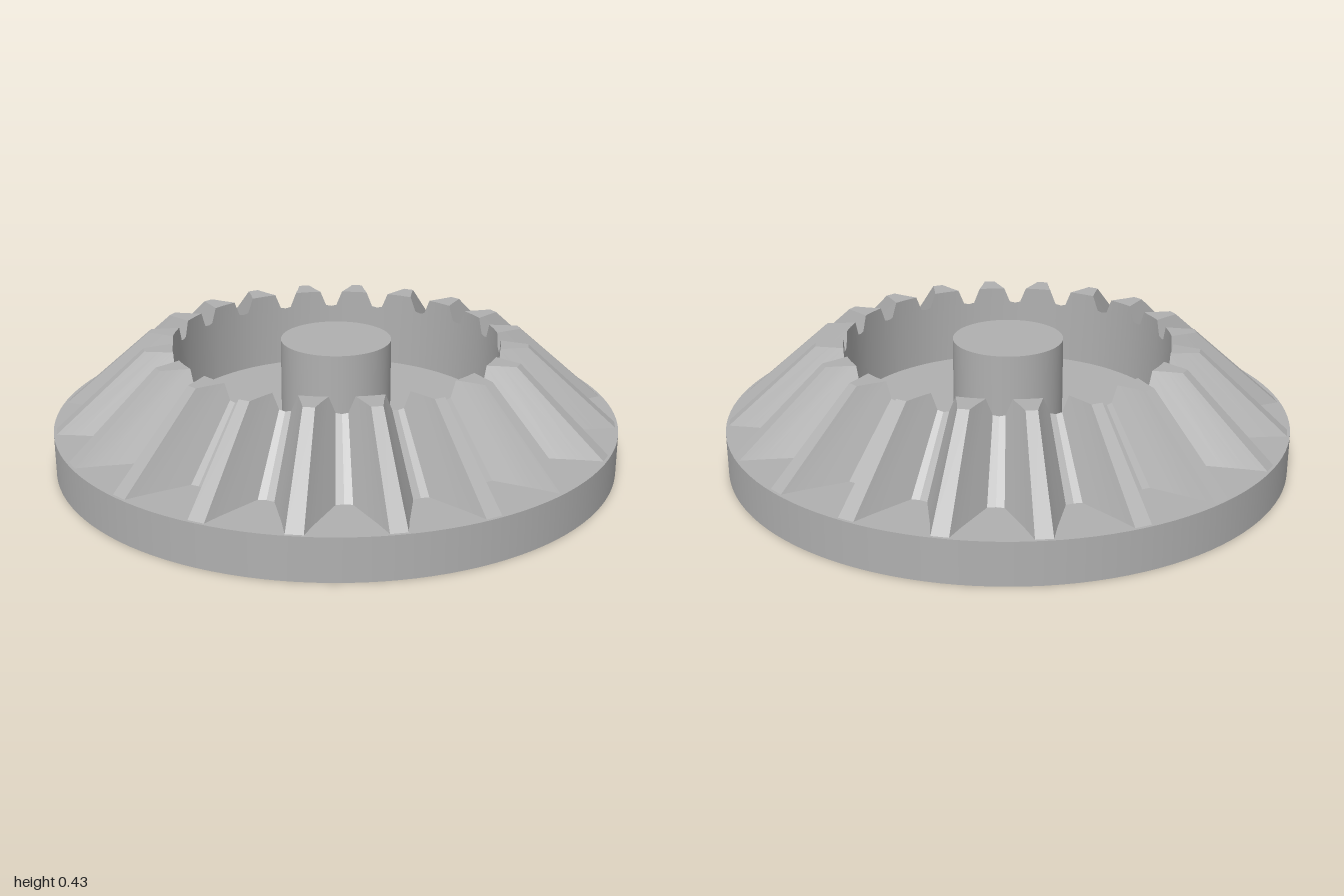
import * as THREE from 'three';
import { toCreasedNormals } from 'three/addons/utils/BufferGeometryUtils.js';

const TEETH = 20;
const BASE = 0.15;    // top of the base disc
const TOP = 0.43;     // flat top of teeth and hub
const APEX = 1.03;    // height where all tooth lines meet on the axis
const BORE = 0.58;    // radius of the inner wall
const TOP_SCALE = (APEX - TOP) / (APEX - BASE);
const RIM = BORE / TOP_SCALE; // base radius whose line reaches the bore at TOP

// Half of one tooth at the base plane: [radius, degrees from tooth centre]
const HALF = [[0.99, 1.65], [0.92, 3.0], [RIM, 4.8], [0.78, 7.0], [0.775, 9]];
const RAD = Math.PI / 180;

const polar = (r, y, deg) => [r * Math.sin(deg * RAD), y, r * Math.cos(deg * RAD)];

// Where the line from a base point towards the apex meets the top plane or bore
function lineEnd([r, deg]) {
  const s = Math.max(TOP_SCALE, BORE / r);
  return polar(r * s, APEX - s * (APEX - BASE), deg);
}

function geometryFrom(faces) {
  const positions = [];
  for (const f of faces)
    for (let i = 1; i < f.length - 1; i++) positions.push(...f[0], ...f[i], ...f[i + 1]);
  const g = new THREE.BufferGeometry();
  g.setAttribute('position', new THREE.Float32BufferAttribute(positions, 3));
  return toCreasedNormals(g, 0.2);
}

export function createModel() {
  const group = new THREE.Group();
  const steel = new THREE.MeshStandardMaterial({ color: 0xb0b0b0 });
  steel.name = 'grey steel';
  const add = (name, geometry, y = 0) => {
    const mesh = new THREE.Mesh(geometry, steel);
    mesh.name = name;
    mesh.position.y = y;
    group.add(mesh);
  };

  // Base disc and central hub
  add('baseDisc', new THREE.CylinderGeometry(1, 1, BASE, 120), BASE / 2);
  add('hub', new THREE.CylinderGeometry(0.195, 0.195, TOP - BASE, 64), (TOP + BASE) / 2);

  const flanks = [], tops = [], wall = [];
  for (let t = 0; t < TEETH; t++) {
    const c = t * 360 / TEETH;
    const section = [
      ...HALF.slice().reverse().map(([r, a]) => [r, c - a]),
      ...HALF.map(([r, a]) => [r, c + a]),
    ];

    // Tapering tooth faces and valley floor
    for (let i = 0; i < section.length - 1; i++) {
      const a = section[i], b = section[i + 1];
      flanks.push([polar(a[0], BASE, a[1]), polar(b[0], BASE, b[1]), lineEnd(b), lineEnd(a)]);
    }

    // Flat tooth top, from the tip edge back to the bore
    const tip = HALF.slice(0, 3);
    tops.push([
      polar(BORE, TOP, c),
      ...tip.slice().reverse().map(([r, a]) => lineEnd([r, c - a])),
      ...tip.map(([r, a]) => lineEnd([r, c + a])),
    ]);

    // Inner wall with its notched upper edge
    const edge = section.filter(([r]) => r <= RIM);
    edge.splice(edge.length / 2, 0, [RIM, c]);
    for (let i = 0; i < edge.length - 1; i++) {
      const a = edge[i], b = edge[i + 1];
      wall.push([polar(BORE, BASE, b[1]), polar(BORE, BASE, a[1]), lineEnd(a), lineEnd(b)]);
    }
  }
  add('toothFlanks', geometryFrom(flanks));
  add('toothTops', geometryFrom(tops));
  add('innerWall', geometryFrom(wall));
  return group;
}
